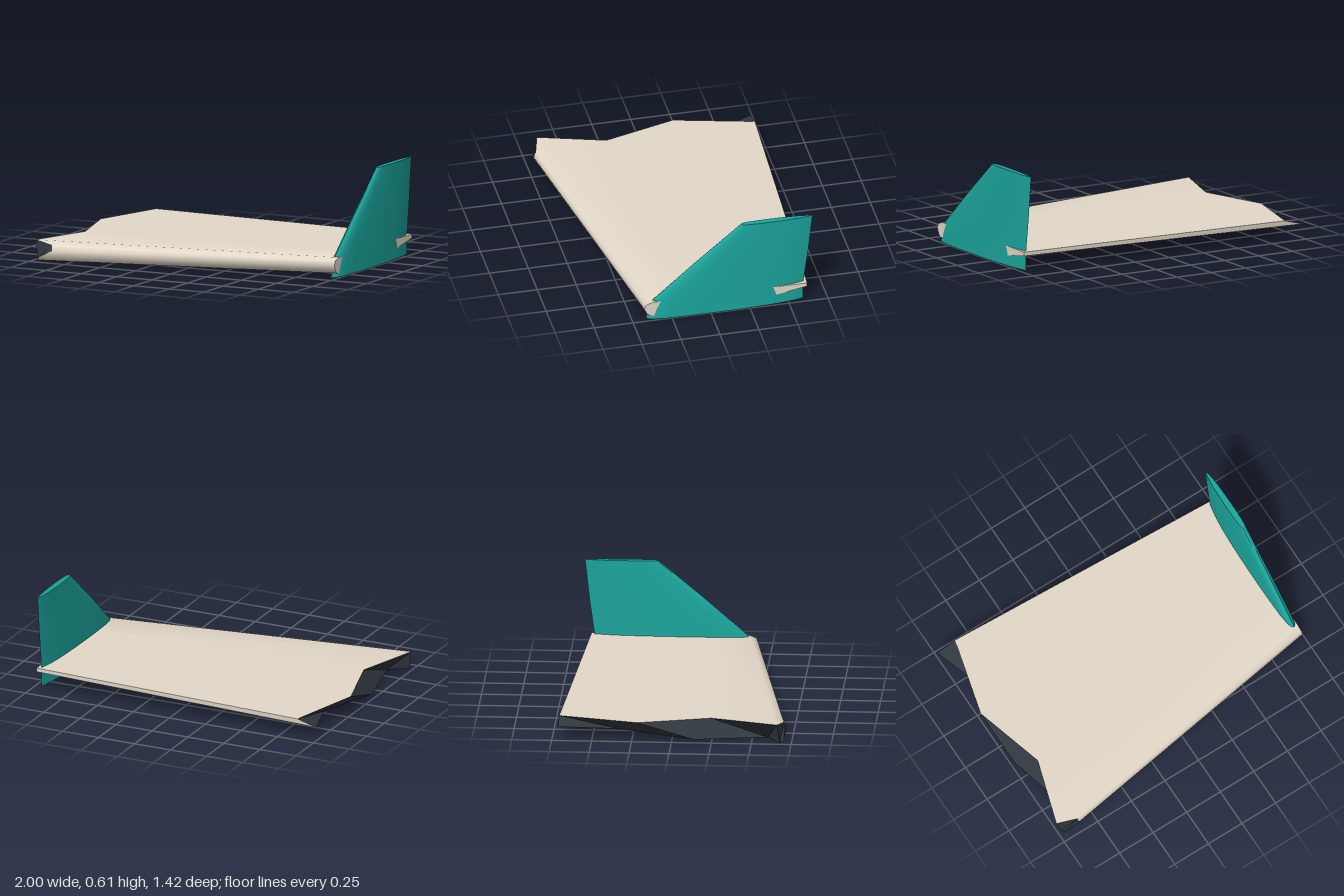
import * as THREE from 'three';
import { toCreasedNormals } from 'three/addons/utils/BufferGeometryUtils.js';

const skinMat = new THREE.MeshStandardMaterial({ color: 0xe3d9c9 });
skinMat.name = 'warm grey skin';
const tornMat = new THREE.MeshStandardMaterial({ color: 0x31383f });
tornMat.name = 'dark torn metal';
const finMat = new THREE.MeshStandardMaterial({ color: 0x1ba59c });
finMat.name = 'teal paint';

function makeMesh(name, points, index, material, crease) {
  let g = new THREE.BufferGeometry();
  g.setAttribute('position', new THREE.Float32BufferAttribute(points.flat(), 3));
  g.setIndex(index);
  g = toCreasedNormals(g, crease);
  const m = new THREE.Mesh(g, material);
  m.name = name;
  return m;
}

// Side walls between two matching closed rings in one point list
function walls(n, a, b) {
  const out = [];
  for (let i = 0; i < n; i++) {
    const j = (i + 1) % n;
    out.push(a + i, a + j, b + i, a + j, b + j, b + i);
  }
  return out;
}

// End face that zips the upper outline to the lower outline
function zip(n, start, flip) {
  const out = [];
  for (let i = 0; i < n / 2 - 1; i++) {
    const [a, b, c, d] = [i, i + 1, n - 2 - i, n - 1 - i].map((k) => k + start);
    out.push(...(flip ? [a, c, b, a, d, c] : [a, b, c, a, c, d]));
  }
  return out;
}

function createWing() {
  const wing = new THREE.Group();
  wing.name = 'wing';
  const tipX = 0.985;
  // Chord fraction from the nose, root height, tip height, x of the jagged break
  const section = [
    [1, 0.125, 0.125, -0.87],
    [0.655, 0.125, 0.125, -1],
    [0.33, 0.125, 0.125, -0.87],
    [0.05, 0.125, 0.125, -1],
    [0.01, 0.105, 0.108, -0.868],
    [0, 0.07, 0.08, -0.86],
    [0.016, 0.022, 0.045, -0.96],
    [0.035, 0, 0.027, -0.977],
    [0.08, 0.002, 0.027, -0.86],
    [0.41, 0.015, 0.036, -0.978],
    [0.735, 0.045, 0.052, -0.87],
    [1, 0.09, 0.1, -1],
  ];
  const at = (u, yRoot, yTip, x) => {
    const lead = 0.71 - 0.155 * (x + 0.86);
    const trail = -0.71 + 0.0485 * Math.max(0, x + 0.87);
    const s = (x + 1) / (tipX + 1);
    return [x, yRoot + (yTip - yRoot) * s, lead + (trail - lead) * u];
  };
  const n = section.length;
  const torn = section.map(([u, a, b, x]) => at(u, a, b, x));
  const tip = section.map(([u, a, b]) => at(u, a, b, tipX));
  const points = [...torn, ...tip];
  wing.add(
    makeMesh('wingSkin', points, walls(n, 0, n), skinMat, 1.15),
    makeMesh('wingTipFace', points, zip(n, n, false), skinMat, 0.1),
    makeMesh('tornEnd', points, zip(n, 0, true), tornMat, 0.1),
  );
  return wing;
}

function createFin() {
  // Height, leading z, trailing z
  const levels = [
    [0, 0.41, -0.6],
    [0.12, 0.375, -0.6],
    [0.36, 0.1, -0.633],
    [0.61, -0.2, -0.66],
  ];
  // Airfoil: fraction back from the leading edge, relative half thickness
  const side = [
    [0.015, 0.42], [0.045, 0.69], [0.12, 0.88], [0.25, 0.98], [0.4, 1],
    [0.55, 0.97], [0.7, 0.86], [0.82, 0.69], [0.92, 0.4],
  ];
  const mirrored = side.map(([t, w]) => [t, -w]).reverse();
  const ring = [[0, 0], ...side, [1, 0], ...mirrored];
  const n = ring.length;
  const points = [];
  const index = [];
  for (const [y, lead, trail] of levels) {
    const half = 0.04 - 0.02 * (y / 0.61);
    for (const [t, w] of ring) points.push([0.959 + half * w, y, lead + (trail - lead) * t]);
  }
  for (let k = 0; k < levels.length - 1; k++) index.push(...walls(n, k * n, (k + 1) * n));
  // Flat bottom and top
  const top = (levels.length - 1) * n;
  for (let i = 1; i < n - 1; i++) {
    index.push(0, i + 1, i, top, top + i, top + i + 1);
  }
  return makeMesh('winglet', points, index, finMat, 0.9);
}

export function createModel() {
  const model = new THREE.Group();
  model.name = 'brokenWing';
  model.add(createWing(), createFin());
  return model;
}
